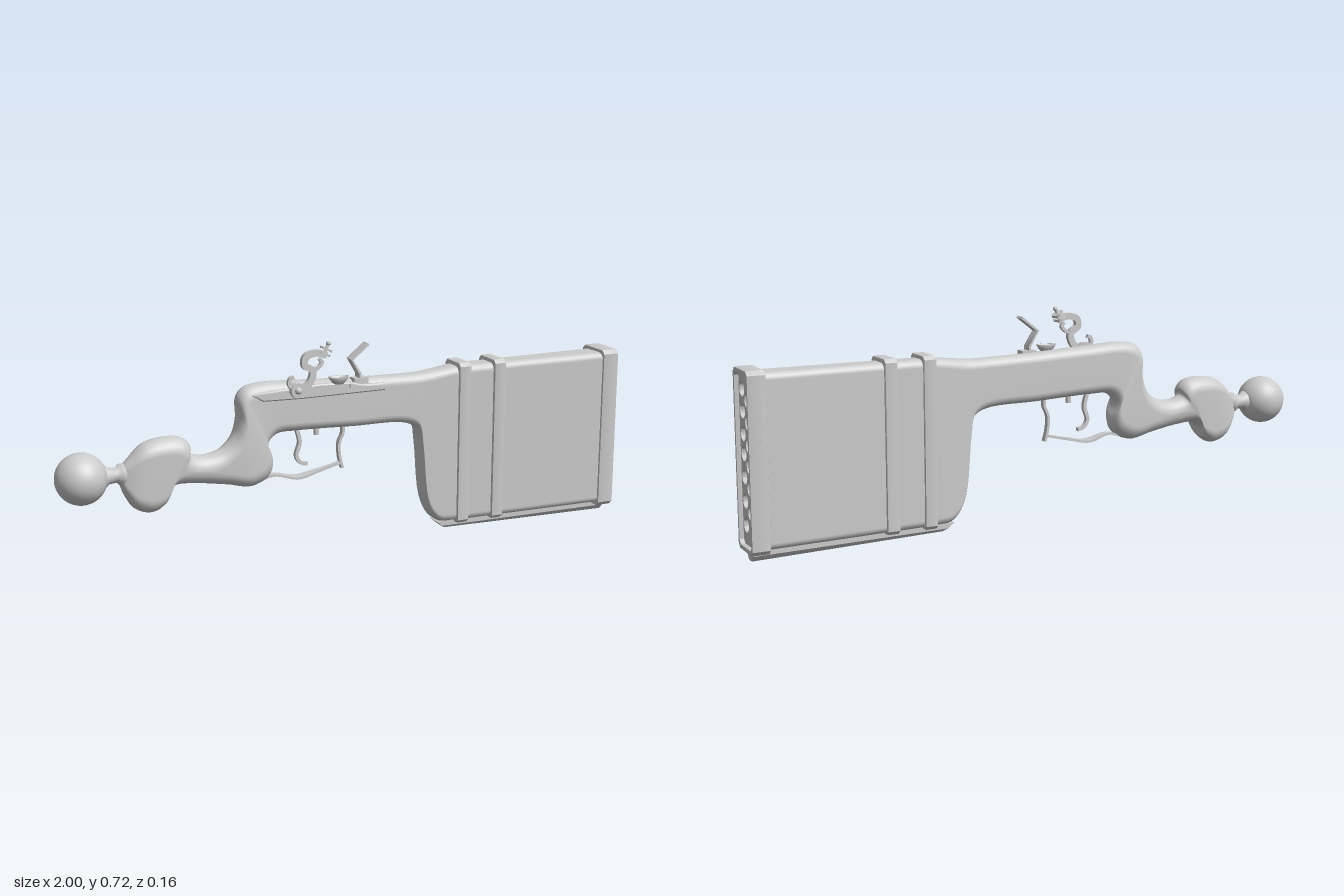
import * as THREE from 'three';
import { toCreasedNormals } from 'three/addons/utils/BufferGeometryUtils.js';

const V = (x, y, z = 0) => new THREE.Vector3(x, y, z);
const grey = new THREE.MeshStandardMaterial({ color: 0xcccccc });
const greyBoth = new THREE.MeshStandardMaterial({ color: 0xcccccc, side: THREE.DoubleSide });

// Stations: top x, top y, bottom x, bottom y, half depth, corner roundness
const STATIONS = [
  [-0.80, 0.360, -0.80, 0.328, 0.015, 1],
  [-0.765, 0.394, -0.785, 0.280, 0.032, 1],
  [-0.715, 0.436, -0.752, 0.229, 0.046, 1],
  [-0.65, 0.449, -0.700, 0.211, 0.050, 1],
  [-0.59, 0.441, -0.662, 0.230, 0.050, 1],
  [-0.566, 0.415, -0.652, 0.270, 0.049, 1],
  [-0.568, 0.392, -0.620, 0.290, 0.047, 1],
  [-0.527, 0.376, -0.55, 0.287, 0.045, 1],
  [-0.463, 0.388, -0.447, 0.270, 0.047, 1],
  [-0.42, 0.430, -0.360, 0.254, 0.050, 1],
  [-0.404, 0.489, -0.300, 0.284, 0.048, 1],
  [-0.404, 0.550, -0.288, 0.330, 0.045, 1],
  [-0.382, 0.580, -0.305, 0.375, 0.042, 1],
  [-0.33, 0.591, -0.275, 0.418, 0.040, 0.9],
  [-0.20, 0.586, -0.20, 0.423, 0.040, 0.8],
  [0.00, 0.576, 0.00, 0.415, 0.037, 0.8],
  [0.19, 0.571, 0.19, 0.406, 0.037, 0.8],
  [0.23, 0.571, 0.235, 0.380, 0.038, 0.8],
  [0.25, 0.572, 0.250, 0.300, 0.038, 0.8],
  [0.27, 0.574, 0.270, 0.115, 0.039, 0.8],
  [0.31, 0.578, 0.312, 0.050, 0.041, 0.7],
  [0.38, 0.585, 0.38, 0.042, 0.044, 0.6],
  [0.55, 0.585, 0.55, 0.040, 0.047, 0.5],
  [0.97, 0.584, 0.97, 0.036, 0.055, 0.4],
];

// Rounded-rectangle sections lofted between a top and a bottom curve
function loftBody() {
  const top = new THREE.CatmullRomCurve3(STATIONS.map(s => V(s[0], s[1], s[4])));
  const bottom = new THREE.CatmullRomCurve3(STATIONS.map(s => V(s[2], s[3], s[5])));
  const rows = (STATIONS.length - 1) * 6, arc = 7, cols = arc * 4, pos = [], index = [];
  for (let i = 0; i <= rows; i++) {
    const t = top.getPoint(i / rows), b = bottom.getPoint(i / rows);
    const d = t.z, h = Math.hypot(t.x - b.x, t.y - b.y) / 2, r = Math.min(b.z * d, h);
    for (let q = 0; q < 4; q++) for (let j = 0; j < arc; j++) {
      const a = (q + j / (arc - 1)) * Math.PI / 2;
      const z = (q === 0 || q === 3 ? 1 : -1) * (d - r) + r * Math.cos(a);
      const s = ((q < 2 ? 1 : -1) * (h - r) + r * Math.sin(a)) / h;
      pos.push((t.x + b.x + (t.x - b.x) * s) / 2, (t.y + b.y + (t.y - b.y) * s) / 2, z);
    }
  }
  for (let i = 0; i < rows; i++) for (let j = 0; j < cols; j++) {
    const a = i * cols + j, b = i * cols + (j + 1) % cols;
    index.push(a, a + cols, b, b, a + cols, b + cols);
  }
  const g = new THREE.BufferGeometry();
  g.setAttribute('position', new THREE.Float32BufferAttribute(pos, 3));
  g.setIndex(index);
  g.computeVertexNormals();
  return g;
}

// Rectangle with cut corners, in a plane across the barrel
function cutRect(Kind, w, y0, y1, c) {
  return new Kind([[-w + c, y0], [w - c, y0], [w, y0 + c], [w, y1 - c], [w - c, y1],
    [-w + c, y1], [-w, y1 - c], [-w, y0 + c]].map(p => new THREE.Vector2(...p)));
}

// Extrude a cross-plane shape along x from x0 to x1
function alongX(shape, x0, x1, bevel = 0) {
  const g = new THREE.ExtrudeGeometry(shape, {
    depth: x1 - x0 - 2 * bevel, bevelEnabled: bevel > 0, bevelSize: bevel,
    bevelThickness: bevel, bevelOffset: -bevel, bevelSegments: 2, curveSegments: 20,
  });
  return toCreasedNormals(g.rotateY(Math.PI / 2).translate(x0 + bevel, 0, 0), 0.5);
}

// Flat strip that follows points in the side plane, spanning z0 to z1
function strip(points, thick, z0, z1, smooth = true) {
  const pts = points.map(p => V(...p));
  const path = smooth ? new THREE.CatmullRomCurve3(pts).getPoints(24) : pts;
  const left = [], right = [];
  path.forEach((p, i) => {
    const d = path[Math.min(i + 1, path.length - 1)].clone().sub(path[Math.max(i - 1, 0)]).normalize();
    left.push(new THREE.Vector2(p.x - d.y * thick / 2, p.y + d.x * thick / 2));
    right.unshift(new THREE.Vector2(p.x + d.y * thick / 2, p.y - d.x * thick / 2));
  });
  return plate([...left, ...right], z0, z1);
}

function plate(pts, z0, z1, bevel = 0) {
  const g = new THREE.ExtrudeGeometry(new THREE.Shape(pts), {
    depth: z1 - z0 - 2 * bevel, bevelEnabled: bevel > 0, bevelSize: bevel,
    bevelThickness: bevel, bevelOffset: -bevel, bevelSegments: 1,
  });
  return toCreasedNormals(g.translate(0, 0, z0 + bevel), 0.6);
}

const vec2 = list => list.map(p => new THREE.Vector2(...p));

export function createModel() {
  const root = new THREE.Group();
  const add = (name, geometry, parent = root, material = grey) => {
    const m = new THREE.Mesh(geometry, material);
    m.name = name;
    parent.add(m);
    return m;
  };

  add('stockAndBarrelHousing', loftBody(), root, greyBoth);

  // Ball pommel on a turned neck
  add('pommelBall', new THREE.SphereGeometry(0.082, 32, 20)).position.set(-0.918, 0.345, 0);
  const neck = add('pommelNeck', new THREE.LatheGeometry(vec2([
    [0.032, 0], [0.036, 0.012], [0.026, 0.022], [0.024, 0.05], [0.034, 0.058], [0.034, 0.072], [0.02, 0.085],
  ]), 24), root, greyBoth);
  neck.rotation.z = -Math.PI / 2;
  neck.position.set(-0.855, 0.344, 0);

  // Two bands around the housing
  [[0.377, 0.42, 0.054], [0.51, 0.553, 0.057]].forEach(([x0, x1, w]) =>
    add('barrelBand', alongX(cutRect(THREE.Shape, w, 0.036, 0.598, 0.012), x0, x1, 0.004)));

  // Muzzle frame with recessed face and funnel bores
  const frame = cutRect(THREE.Shape, 0.069, 0.028, 0.595, 0.014);
  frame.holes.push(cutRect(THREE.Path, 0.058, 0.044, 0.58, 0.012));
  add('muzzleFrame', alongX(frame, 0.94, 1.0, 0.004));
  const bores = [
    ...[0.53, 0.462, 0.392, 0.33, 0.258, 0.182, 0.106].map(y => [y, 0.028]),
    ...[0.5, 0.432, 0.362, 0.298, 0.228, 0.152].map(y => [y, -0.019]),
  ];
  const face = cutRect(THREE.Shape, 0.064, 0.036, 0.588, 0.012);
  bores.forEach(([y, z]) => face.holes.push(new THREE.Path().absarc(-z, y, 0.024, 0, Math.PI * 2, true)));
  add('muzzleFace', alongX(face, 0.975, 0.985));
  const boreGeo = new THREE.LatheGeometry(vec2([[0, -0.05], [0.011, -0.05], [0.011, -0.04], [0.024, 0]]), 20)
    .rotateZ(-Math.PI / 2);
  bores.forEach(([y, z]) =>
    add('bore', toCreasedNormals(boreGeo, 0.4), root, greyBoth).position.set(0.984, y, z));

  // Keel rail below, dropping slightly toward the muzzle
  const keel = alongX(new THREE.Shape(vec2([
    [-0.013, 0], [0.013, 0], [0.028, 0.018], [0.028, 0.045], [-0.028, 0.045], [-0.028, 0.018],
  ])), 0.31, 0.985);
  const kp = keel.attributes.position;
  for (let i = 0; i < kp.count; i++) {
    const low = 1 - kp.getY(i) / 0.045;
    if (kp.getX(i) < 0.5) {
      kp.setX(i, 0.31 + 0.035 * low);
      kp.setY(i, kp.getY(i) + 0.016 * low);
    }
  }
  add('keelRail', toCreasedNormals(keel, 0.4));

  // Lock on the front side
  const lock = new THREE.Group();
  lock.name = 'lock';
  root.add(lock);
  add('lockPlate', plate(vec2([
    [-0.37, 0.563], [-0.33, 0.538], [-0.2, 0.534], [0.1, 0.534], [0.106, 0.545], [0.1, 0.558],
    [0.02, 0.56], [-0.02, 0.572], [-0.14, 0.576], [-0.27, 0.57],
  ]), 0.02, 0.048, 0.004), lock);
  add('steelSpring', strip([[0.1, 0.546], [0.03, 0.55], [-0.03, 0.562]], 0.012, 0.044, 0.056), lock);
  const pivot = add('cockPivot', new THREE.CylinderGeometry(0.024, 0.026, 0.022, 20).rotateX(Math.PI / 2), lock);
  pivot.position.set(-0.216, 0.566, 0.052);
  const screw = add('cockScrew', new THREE.SphereGeometry(0.012, 14, 10), lock);
  screw.position.set(-0.216, 0.566, 0.062);

  // Curled cock with jaws and clamping screw
  add('cockNeck', strip([[-0.21, 0.56], [-0.172, 0.588], [-0.163, 0.625], [-0.19, 0.645], [-0.186, 0.672],
    [-0.15, 0.682], [-0.115, 0.672]], 0.022, 0.044, 0.06), lock);
  add('cockSpur', strip([[-0.22, 0.57], [-0.243, 0.585], [-0.24, 0.605], [-0.228, 0.61]], 0.012, 0.046, 0.058), lock);
  add('cockCurl', strip([[-0.168, 0.625], [-0.145, 0.632], [-0.13, 0.65], [-0.138, 0.662]], 0.011, 0.046, 0.058), lock);
  const jaws = new THREE.Group();
  jaws.name = 'cockJaws';
  jaws.position.set(-0.118, 0.684, 0.052);
  jaws.rotation.z = -0.45;
  lock.add(jaws);
  [-0.008, 0.008].forEach(y =>
    add('jaw', new THREE.CylinderGeometry(0.021, 0.021, 0.007, 18), jaws).position.y = y);
  add('jawScrew', new THREE.CylinderGeometry(0.005, 0.005, 0.04, 12), jaws).position.y = 0.008;
  add('jawScrewHead', new THREE.SphereGeometry(0.008, 12, 8), jaws).position.y = 0.028;

  // Priming pan and hinged steel
  const pan = add('primingPan', new THREE.LatheGeometry(vec2([
    [0, -0.028], [0.018, -0.024], [0.03, -0.01], [0.036, 0], [0.03, 0], [0.018, -0.012], [0, -0.016],
  ]), 24).scale(1, 1, 0.6), lock, greyBoth);
  pan.position.set(-0.065, 0.594, 0.04);
  add('steel', strip([[0.012, 0.57], [0.012, 0.596], [-0.018, 0.645], [0.042, 0.692]], 0.008, 0.008, 0.043, false), lock);
  add('steelFoot', new THREE.BoxGeometry(0.05, 0.02, 0.035), lock).position.set(0.015, 0.572, 0.026);

  // Trigger and guard
  add('trigger', strip([[-0.2, 0.43], [-0.188, 0.38], [-0.2, 0.335], [-0.185, 0.31], [-0.162, 0.304]],
    0.012, -0.007, 0.007));
  const guard = strip([[-0.37, 0.262], [-0.33, 0.268], [-0.28, 0.28], [-0.2, 0.262], [-0.12, 0.276],
    [-0.04, 0.294]], 0.008, -0.012, 0.012);
  const gp = guard.attributes.position;
  for (let i = 0; i < gp.count; i++) {
    const spread = 0.7 + Math.exp(-(((gp.getX(i) + 0.2) / 0.07) ** 2));
    gp.setZ(i, gp.getZ(i) * spread);
  }
  add('triggerGuard', guard);
  add('guardPost', strip([[-0.036, 0.275], [-0.046, 0.315], [-0.048, 0.36], [-0.034, 0.395], [-0.034, 0.425]],
    0.009, -0.009, 0.009));
  add('guardPin', new THREE.CylinderGeometry(0.009, 0.009, 0.03, 12)).position.set(-0.128, 0.413, 0);

  return root;
}
